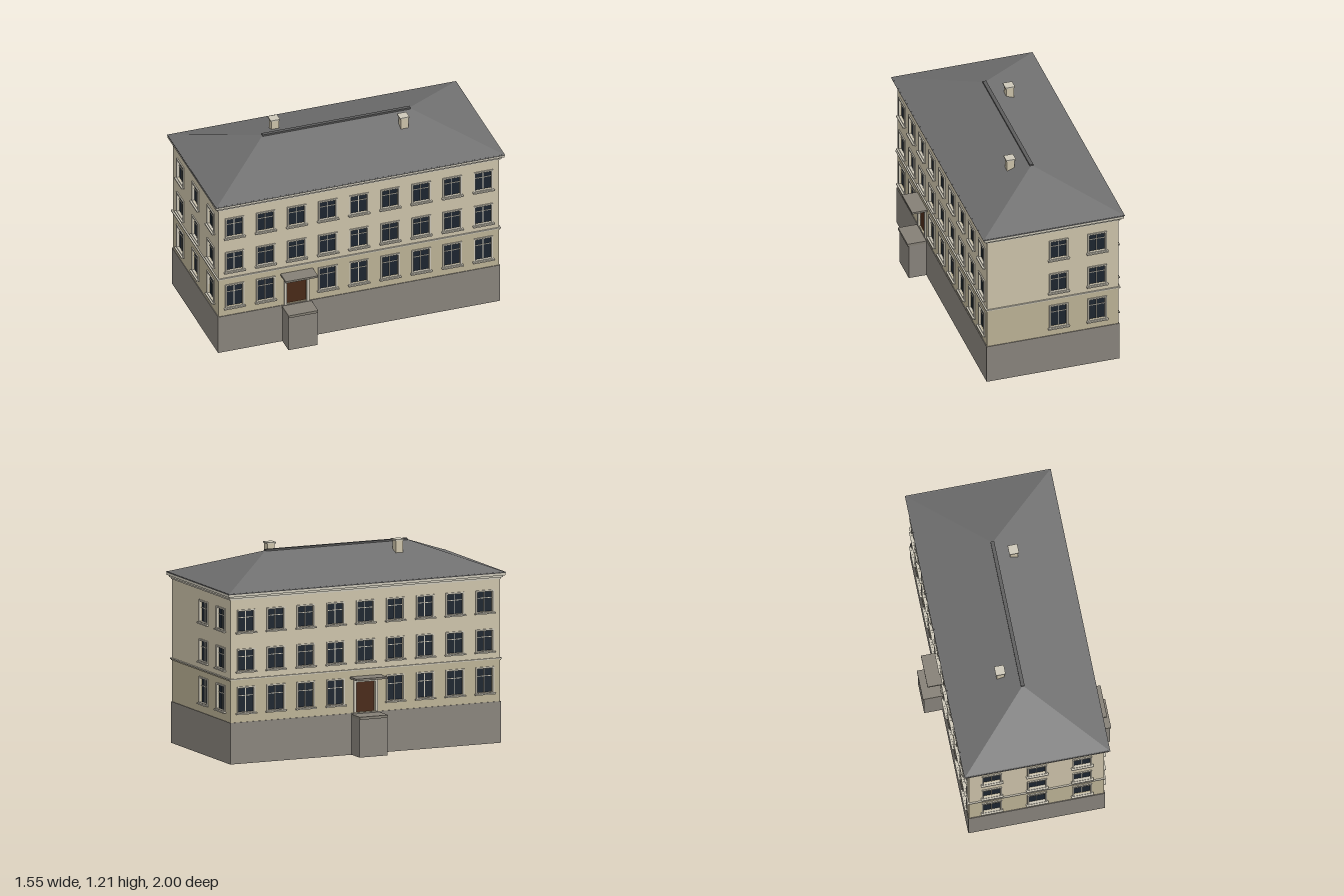
import * as THREE from 'three';

const HALF_W = 0.405, HALF_L = 0.873;
const mat = (color) => new THREE.MeshStandardMaterial({ color, side: THREE.DoubleSide, flatShading: true });
const M = {
  base: mat(0x8b867e), lower: mat(0xbfb598), upper: mat(0xd0c6ad), trim: mat(0xcdc8b9),
  roof: mat(0x707070), ridge: mat(0x5c5c5c), glass: mat(0x1d2630), door: mat(0x4a2a18), stone: mat(0x858076),
};

function add(parent, name, geometry, material) {
  const mesh = new THREE.Mesh(geometry, material);
  mesh.name = name;
  parent.add(mesh);
  return mesh;
}

function box(parent, name, material, w, h, d, x, y, z) {
  const mesh = add(parent, name, new THREE.BoxGeometry(w, h, d), material);
  mesh.position.set(x, y, z);
  return mesh;
}

// Rectangle outline, usable both as a shape and as a hole
function rect(target, x0, y0, x1, y1) {
  target.moveTo(x0, y0);
  target.lineTo(x1, y0);
  target.lineTo(x1, y1);
  target.lineTo(x0, y1);
  target.closePath();
  return target;
}

// Horizontal hollow band running around the whole building
function ring(parent, name, material, out, thick, y0, y1) {
  const a = HALF_W + out, b = HALF_L + out;
  const shape = rect(new THREE.Shape(), -a, -b, a, b);
  shape.holes.push(rect(new THREE.Path(), thick - a, thick - b, a - thick, b - thick));
  const g = new THREE.ExtrudeGeometry(shape, { depth: y1 - y0, bevelEnabled: false });
  g.rotateX(-Math.PI / 2).translate(0, y0, 0);
  return add(parent, name, g, material);
}

// Wall sheet with openings; its outer surface lies at z = 0
function wall(parent, name, material, half, y0, y1, openings) {
  const shape = rect(new THREE.Shape(), -half, y0, half, y1);
  for (const o of openings) shape.holes.push(rect(new THREE.Path(), o.x - o.w / 2, o.y0, o.x + o.w / 2, o.y1));
  const g = new THREE.ExtrudeGeometry(shape, { depth: 0.014, bevelEnabled: false });
  add(parent, name, g.translate(0, 0, -0.014), material);
}

// Raised surround of an opening
function surround(parent, o, border) {
  const w = o.w / 2;
  const s = rect(new THREE.Shape(), o.x - w - border, o.y0 - border, o.x + w + border, o.y1 + border);
  s.holes.push(rect(new THREE.Path(), o.x - w, o.y0, o.x + w, o.y1));
  const g = new THREE.ExtrudeGeometry(s, { depth: 0.016, bevelEnabled: false });
  add(parent, 'surround', g.translate(0, 0, -0.009), M.trim);
}

function windowUnit(parent, o) {
  const g = new THREE.Group();
  g.name = 'window';
  parent.add(g);
  const h = o.y1 - o.y0, mid = (o.y0 + o.y1) / 2, bar = o.y0 + h * 0.68;
  box(g, 'glass', M.glass, o.w, h, 0.003, o.x, mid, -0.011);
  surround(g, o, 0.009);
  box(g, 'mullion', M.trim, 0.004, h, 0.004, o.x, mid, -0.008);
  box(g, 'transom', M.trim, o.w, 0.004, 0.004, o.x, bar, -0.008);
  box(g, 'sill', M.trim, o.w + 0.032, 0.008, 0.022, o.x, o.y0 - 0.009, 0.007);
}

function entrance(parent, o) {
  const g = new THREE.Group();
  g.name = 'entrance';
  parent.add(g);
  box(g, 'door', M.door, o.w, o.y1 - o.y0, 0.004, o.x, (o.y0 + o.y1) / 2, -0.011);
  for (const s of [-1, 1]) {
    box(g, 'doorJamb', M.trim, 0.016, o.y1 - o.y0, 0.016, o.x + s * (o.w / 2 + 0.008), (o.y0 + o.y1) / 2, 0);
  }
  box(g, 'doorLintel', M.trim, o.w + 0.032, 0.016, 0.016, o.x, o.y1 + 0.008, 0);
  box(g, 'canopy', M.stone, 0.2, 0.012, 0.094, o.x, 0.459, 0.047);
  box(g, 'porchBlock', M.base, 0.18, 0.226, 0.112, o.x, 0.113, 0.056);
  box(g, 'porchSlab', M.stone, 0.184, 0.016, 0.12, o.x, 0.234, 0.06);
}

// One facade: two wall zones, three rows of windows, optional door
function facade(parent, { name, half, dist, angle, columns, door }) {
  const side = new THREE.Group();
  side.name = name;
  side.rotation.y = angle;
  side.position.set(Math.sin(angle) * dist, 0, Math.cos(angle) * dist);
  parent.add(side);
  const rows = [[0.307, 0.45], [0.555, 0.675], [0.788, 0.908]].map(([y0, y1], floor) =>
    columns.map((x, i) => (floor === 0 && i === door
      ? { x, w: 0.124, y0: 0.25, y1: 0.43, door: true }
      : { x, w: 0.1, y0, y1 })));
  wall(side, 'lowerWall', M.lower, half, 0.245, 0.5, rows[0]);
  wall(side, 'upperWall', M.upper, half, 0.5, 0.985, [...rows[1], ...rows[2]]);
  for (const o of rows.flat()) (o.door ? entrance : windowUnit)(side, o);
}

// Hipped roof surface with a short ridge
function hipRoof(a, b, r, y0, y1) {
  const c = [[-a, y0, b], [a, y0, b], [a, y0, -b], [-a, y0, -b]];
  const f = [0, y1, r], k = [0, y1, -r];
  const tris = [
    c[0], c[1], f, c[2], c[3], k,
    c[1], c[2], k, c[1], k, f,
    c[3], c[0], f, c[3], f, k,
  ];
  const g = new THREE.BufferGeometry();
  g.setAttribute('position', new THREE.Float32BufferAttribute(tris.flat(), 3));
  g.computeVertexNormals();
  return g;
}

export function createModel() {
  const model = new THREE.Group();
  model.name = 'apartmentBuilding';
  const house = new THREE.Group();
  house.name = 'house';
  house.rotation.y = -0.4346;
  model.add(house);

  // Plinth and walls
  ring(house, 'plinth', M.base, 0.004, 0.018, 0, 0.247);
  const nine = Array.from({ length: 9 }, (_, i) => (i - 4) * 0.1936);
  const sides = [
    { name: 'frontFacade', half: HALF_W, dist: HALF_L, angle: 0, columns: [-0.268, 0.003, 0.273] },
    { name: 'backFacade', half: HALF_W, dist: HALF_L, angle: Math.PI, columns: [0.035, 0.272] },
    { name: 'leftFacade', half: HALF_L, dist: HALF_W, angle: Math.PI / 2, columns: nine, door: 2 },
    { name: 'rightFacade', half: HALF_L, dist: HALF_W, angle: -Math.PI / 2, columns: nine, door: 4 },
  ];
  sides.forEach((s) => facade(house, s));

  // String course and stepped cornice
  ring(house, 'stringCourse', M.lower, 0.005, 0.012, 0.494, 0.501);
  ring(house, 'stringCourseCap', M.trim, 0.009, 0.016, 0.501, 0.508);
  [[0.006, 0.978, 0.988], [0.014, 0.988, 1.0], [0.024, 1.0, 1.014]].forEach(([out, y0, y1]) =>
    ring(house, 'cornice', M.trim, out, out + 0.012, y0, y1));

  // Roof
  ring(house, 'eaves', M.roof, 0.0245, 0.04, 1.014, 1.021);
  add(house, 'roof', hipRoof(0.4365, 0.9, 0.455, 1.018, 1.182), M.roof);
  box(house, 'ridgeCap', M.ridge, 0.022, 0.012, 0.92, 0, 1.182, 0);

  // Chimneys
  for (const [x, z] of [[0.11, -0.38], [-0.115, 0.346]]) {
    box(house, 'chimney', M.upper, 0.046, 0.1, 0.046, x, 1.155, z);
    box(house, 'chimneyCap', M.trim, 0.058, 0.008, 0.058, x, 1.206, z);
  }
  return model;
}
